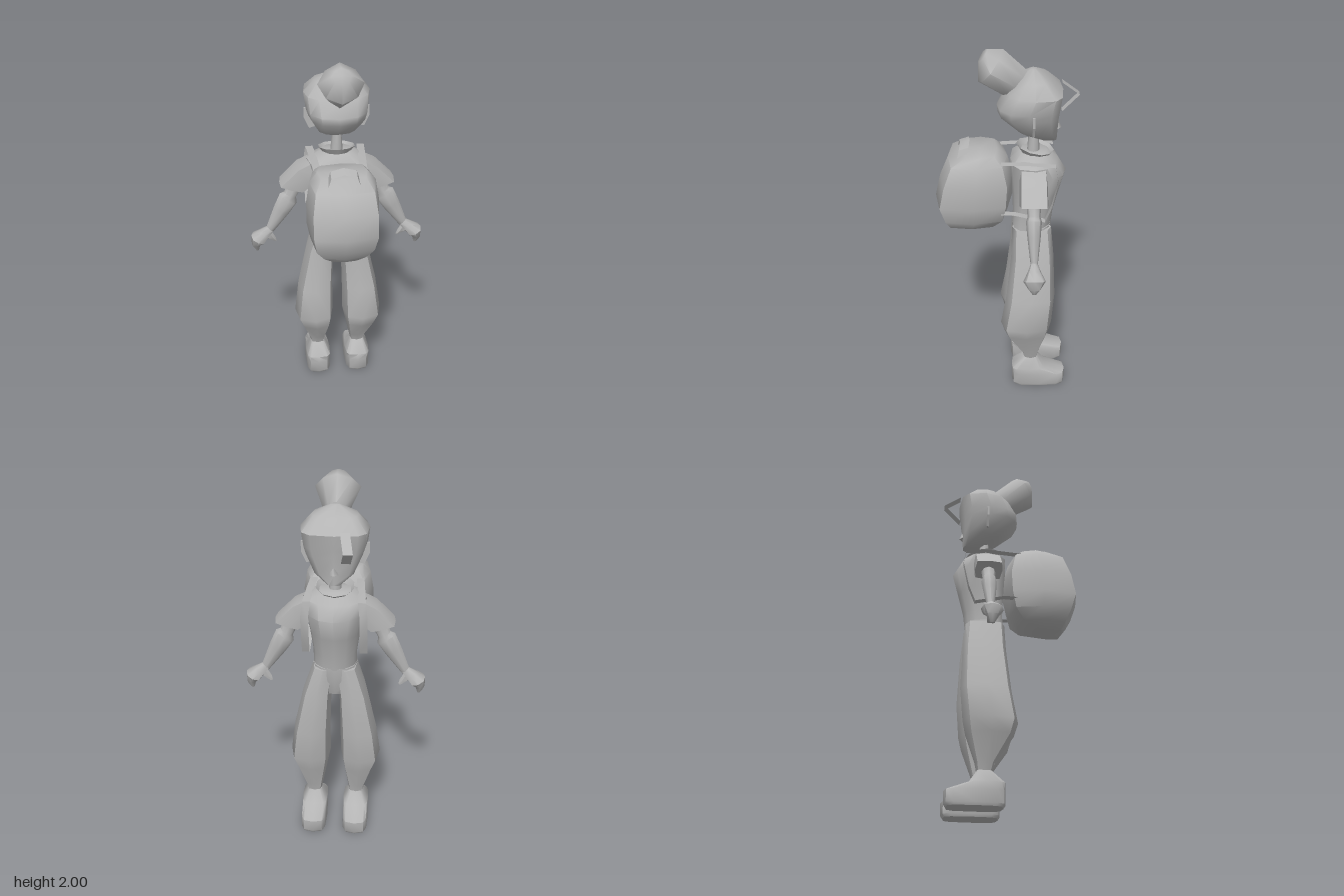
import * as THREE from 'three';
import { toCreasedNormals } from 'three/addons/utils/BufferGeometryUtils.js';

const grey = new THREE.MeshStandardMaterial({ color: 0xb4b4b4 });
grey.name = 'plain grey';
const greyThin = grey.clone();
greyThin.side = THREE.DoubleSide;
greyThin.name = 'plain grey thin';

// Ring [x, y, z, halfWidth, halfDepth, tilt]: an oval in a plane tilted about z.
// powF squares off the -z half, powB the +z half.
function ringPoints([cx, cy, cz, a, b, tilt = 0], n, powF, powB) {
  const pts = [];
  for (let i = 0; i < n; i++) {
    const t = (i / n) * Math.PI * 2;
    const c = Math.cos(t), s = Math.sin(t);
    const e = 2 / (s < -0.001 ? powF : powB);
    const u = Math.abs(c) < 1e-6 ? 0 : Math.sign(c) * Math.abs(c) ** e * a;
    const v = Math.abs(s) < 1e-6 ? 0 : Math.sign(s) * Math.abs(s) ** e * b;
    pts.push([cx + u * Math.cos(tilt), cy + u * Math.sin(tilt), cz + v]);
  }
  return pts;
}

// Closed skin over rings; side = -1 mirrors it across x.
function loft(rings, { n = 10, powF = 2, powB = 2, side = 1, crease = 0.9 } = {}) {
  const p = [], idx = [];
  for (const r of rings) for (const [x, y, z] of ringPoints(r, n, powF, powB)) p.push(x * side, y, z);
  for (let k = 0; k < rings.length - 1; k++) {
    for (let i = 0; i < n; i++) {
      const a = k * n + i, b = k * n + (i + 1) % n;
      idx.push(a, a + n, b, b, a + n, b + n);
    }
  }
  const last = rings.length - 1, base = rings.length * n;
  for (const r of [rings[0], rings[last]]) p.push(r[0] * side, r[1], r[2]);
  for (let i = 0; i < n; i++) {
    const j = (i + 1) % n;
    idx.push(base, i, j, base + 1, last * n + j, last * n + i);
  }
  // turn all faces outward
  let vol = 0;
  const V = i => new THREE.Vector3(p[i * 3], p[i * 3 + 1], p[i * 3 + 2]);
  for (let i = 0; i < idx.length; i += 3) vol += V(idx[i]).dot(V(idx[i + 1]).cross(V(idx[i + 2])));
  if (vol < 0) idx.reverse();
  const g = new THREE.BufferGeometry();
  g.setAttribute('position', new THREE.Float32BufferAttribute(p, 3));
  g.setIndex(idx);
  return toCreasedNormals(g, crease);
}

// Horizontal ring from back and front limits: [y, zBack, zFront, halfWidth, x]
const level = ([y, z0, z1, w, x = 0]) => [x, y, (z0 + z1) / 2, w, Math.abs(z0 - z1) / 2];

// Flat band along a path, widened both ways by w
function ribbon(path, w, side = 1) {
  const p = [], idx = [];
  path.forEach(([x, y, z], i) => {
    p.push((x - w[0]) * side, y - w[1], z - w[2], (x + w[0]) * side, y + w[1], z + w[2]);
    if (i) idx.push(2 * i - 2, 2 * i - 1, 2 * i, 2 * i, 2 * i - 1, 2 * i + 1);
  });
  const g = new THREE.BufferGeometry();
  g.setAttribute('position', new THREE.Float32BufferAttribute(p, 3));
  g.setIndex(idx);
  return toCreasedNormals(g, 0.4);
}

export function createModel() {
  const model = new THREE.Group();
  const add = (name, geo, mat = grey) => {
    const m = new THREE.Mesh(geo, mat);
    m.name = name;
    model.add(m);
    return m;
  };

  // Head: squared face, rounded skull
  add('head', loft([
    [1.52, -0.17, -0.26, 0.035], [1.575, -0.06, -0.263, 0.105], [1.67, 0.045, -0.27, 0.15],
    [1.71, 0.05, -0.276, 0.162], [1.79, 0.0, -0.285, 0.172], [1.855, -0.065, -0.215, 0.115],
    [1.9, -0.12, -0.145, 0.02],
  ].map(level), { n: 12, powF: 3.6, powB: 2.5 }));

  const nose = add('nose', new THREE.ConeGeometry(0.025, 0.05, 4));
  nose.position.set(0, 1.605, -0.262);
  nose.scale.z = 0.8;

  // Hair bun, four-sided, leaning up and back
  const bun = add('hairBun', loft([
    [0, -0.03, 0, 0.04, 0.085], [0, 0, 0, 0.06, 0.088],
    [0, 0.16, 0, 0.117, 0.105], [0, 0.222, -0.02, 0.05, 0.04],
  ], { n: 8, powF: 1.55, powB: 1.75, crease: 1.2 }));
  bun.position.set(0, 1.82, -0.05);
  bun.rotation.x = 0.93;

  // Loose lock over the forehead
  add('hairLock', ribbon([[-0.055, 1.81, -0.283], [-0.075, 1.735, -0.375], [-0.06, 1.65, -0.285]],
    [0.024, 0, 0]), greyThin);

  add('neck', loft([[0, 1.42, -0.14, 0.035, 0.035], [0, 1.55, -0.14, 0.026, 0.026]], { n: 8 }));

  // Open collar, higher at the back
  const collar = add('collar', new THREE.CylinderGeometry(0.1, 0.07, 0.035, 10, 1, true), greyThin);
  collar.position.set(0, 1.455, -0.145);
  collar.rotation.x = -0.2;

  add('torso', loft([
    [1.02, -0.03, -0.24, 0.115], [1.1, -0.035, -0.25, 0.115], [1.22, -0.03, -0.28, 0.13],
    [1.34, -0.02, -0.312, 0.152], [1.41, -0.02, -0.27, 0.162], [1.455, -0.07, -0.21, 0.08],
  ].map(level), { n: 12, powF: 2, powB: 2.8 }));

  add('hips', loft([
    [0.86, -0.06, -0.21, 0.07], [0.95, -0.035, -0.235, 0.125], [1.03, -0.03, -0.24, 0.115],
  ].map(level), { n: 12, powF: 2.4, powB: 2.4 }));

  for (const side of [1, -1]) {
    const s = side > 0 ? 'left' : 'right';

    // Baggy trouser leg, boxy at the widest point
    add(s + 'Leg', loft([
      [0.18, -0.1, -0.175, 0.038, 0.117], [0.23, -0.085, -0.185, 0.05, 0.12],
      [0.37, 0.01, -0.235, 0.088, 0.13], [0.44, 0.032, -0.25, 0.11, 0.138],
      [0.62, 0, -0.265, 0.098, 0.126], [0.86, -0.025, -0.255, 0.075, 0.096],
      [1.02, -0.03, -0.24, 0.058, 0.059],
    ].map(level), { n: 8, powF: 3, powB: 3, side }));

    add(s + 'Shoe', loft([
      [0.005, -0.04, -0.325, 0.066, 0.117], [0.02, -0.03, -0.335, 0.072, 0.117],
      [0.085, -0.03, -0.335, 0.07, 0.117], [0.125, -0.03, -0.22, 0.071, 0.117],
      [0.19, -0.1, -0.175, 0.038, 0.117],
    ].map(level), { n: 12, powF: 4, powB: 4, side }));

    // Flared square sleeve
    add(s + 'Sleeve', loft([
      [0.11, 1.35, -0.137, 0.07, 0.07, 1.2], [0.172, 1.325, -0.137, 0.066, 0.072, 0.85],
      [0.247, 1.255, -0.137, 0.068, 0.073, 0.3],
    ], { n: 8, powF: 6, powB: 6, side, crease: 0.6 }));

    // Arm narrowing at the elbow, wide cuff, thin wrist
    add(s + 'Arm', loft([
      [0.22, 1.28, -0.137, 0.045, 0.04, 0.5], [0.255, 1.195, -0.137, 0.036, 0.033, 0.5],
      [0.265, 1.172, -0.137, 0.055, 0.041, 0.6], [0.305, 1.1, -0.137, 0.047, 0.034, 0.6],
      [0.375, 0.975, -0.137, 0.024, 0.018, 0.65],
    ], { n: 8, side }));

    add(s + 'Hand', loft([
      [0.37, 0.985, -0.137, 0.024, 0.018, 0.7], [0.405, 0.955, -0.137, 0.033, 0.035, 0.7],
      [0.44, 0.925, -0.137, 0.043, 0.058, 0.45], [0.453, 0.89, -0.137, 0.025, 0.035, 0],
      [0.447, 0.85, -0.137, 0.008, 0.012, 0],
    ], { n: 8, powF: 2.4, powB: 2.4, side }));

    add(s + 'Thumb', loft([
      [0.39, 0.965, -0.14, 0.024, 0.02], [0.37, 0.925, -0.14, 0.026, 0.018],
      [0.345, 0.9, -0.145, 0.008, 0.01],
    ], { n: 6, side }));

    // Ear: thin upright flap
    const earShape = new THREE.Shape([[0.13, 1.7], [0.172, 1.705], [0.172, 1.65], [0.145, 1.59], [0.11, 1.6]]
      .map(([x, y]) => new THREE.Vector2(x * side, y)));
    const ear = add(s + 'Ear', new THREE.ExtrudeGeometry(earShape, { depth: 0.012, bevelEnabled: false }), greyThin);
    ear.position.z = -0.14;

    // Pack strap: over the shoulder, down the chest, back under the arm
    add(s + 'Strap', ribbon([
      [0.12, 1.43, 0.06], [0.13, 1.435, -0.1], [0.14, 1.425, -0.25], [0.15, 1.34, -0.265],
      [0.15, 1.2, -0.235], [0.15, 1.11, -0.2], [0.145, 1.15, -0.04], [0.14, 1.15, 0.03],
    ], [0.02, 0, 0], side), greyThin);
  }

  // Backpack: boxy sack with a ridge down the back and a carrying loop
  add('backpack', loft([
    [1.015, 0.29, 0.16, 0.07], [1.045, 0.315, 0.05, 0.125], [1.1, 0.345, -0.005, 0.17],
    [1.19, 0.376, -0.03, 0.188], [1.31, 0.35, -0.035, 0.188], [1.42, 0.305, -0.005, 0.17],
    [1.465, 0.22, 0.05, 0.13],
  ].map(level), { n: 8, powF: 3.6, powB: 5 }));

  add('backpackHandle', ribbon([
    [-0.08, 1.45, 0.23], [-0.066, 1.49, 0.22], [0, 1.505, 0.215], [0.066, 1.49, 0.22], [0.08, 1.45, 0.23],
  ], [0, 0.008, -0.025]), greyThin);

  return model;
}
